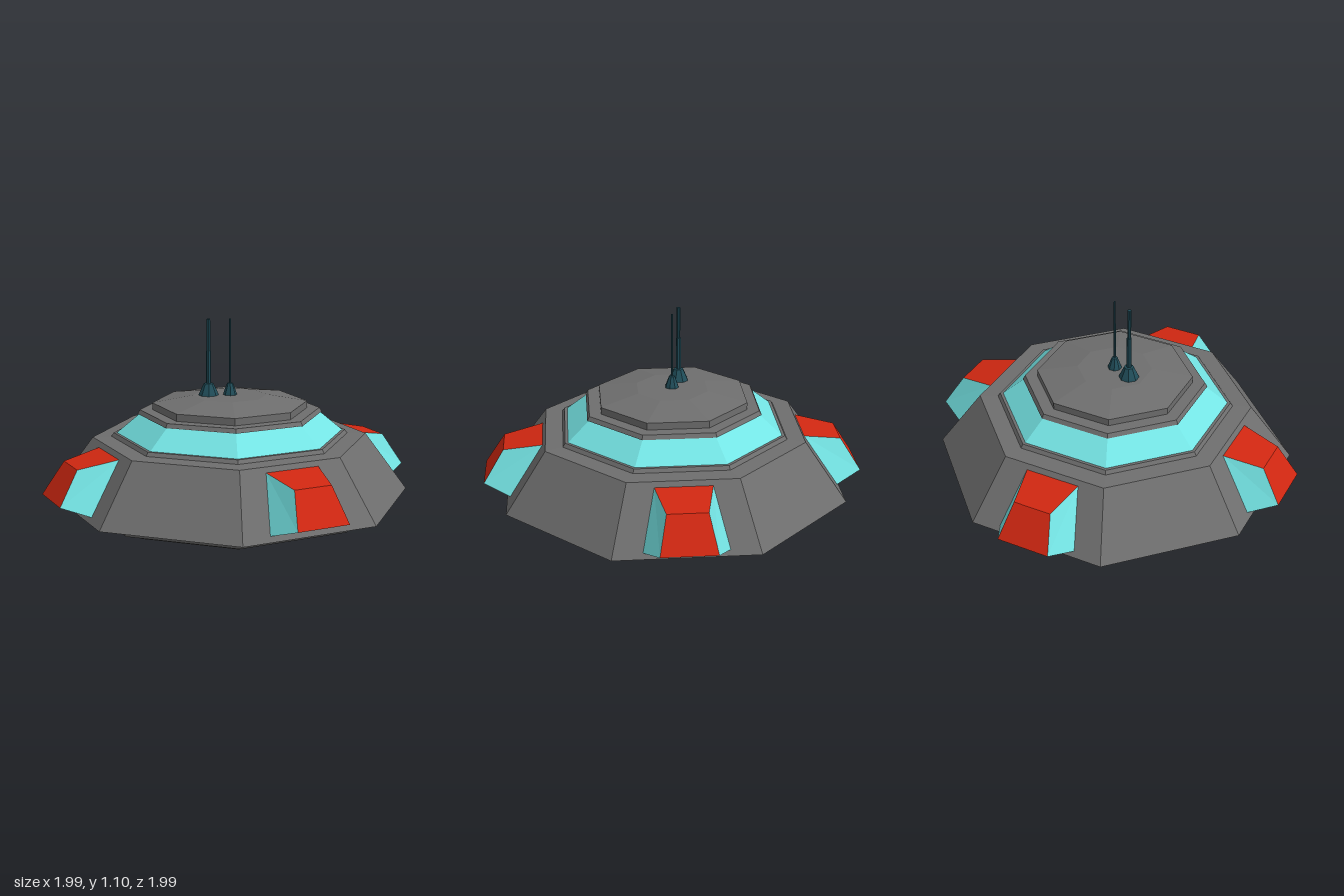
import * as THREE from 'three';

const mat = (name, color) => {
  const m = new THREE.MeshStandardMaterial({ color, flatShading: true });
  m.name = name;
  return m;
};

// Faceted eight-sided turned part; the profile runs from bottom to top
function turned(name, profile, material) {
  const pts = profile.map(([r, y]) => new THREE.Vector2(r, y));
  const geo = new THREE.LatheGeometry(pts, 8).toNonIndexed();
  geo.computeVertexNormals();
  const mesh = new THREE.Mesh(geo, material);
  mesh.name = name;
  return mesh;
}

// Mesh from quads given as strings of corner letters
function quads(name, corners, faces, material) {
  const pos = [];
  for (const f of faces) {
    for (const i of [0, 1, 2, 0, 2, 3]) pos.push(...corners[f[i]]);
  }
  const geo = new THREE.BufferGeometry();
  geo.setAttribute('position', new THREE.Float32BufferAttribute(pos, 3));
  geo.computeVertexNormals();
  const mesh = new THREE.Mesh(geo, material);
  mesh.name = name;
  return mesh;
}

export function createModel() {
  const grey = mat('hull grey', 0x6e6e6e);
  const cyan = mat('window cyan', 0x74e4e4);
  const red = mat('pod red', 0xd02711);
  const teal = mat('dark teal', 0x204d59);

  const model = new THREE.Group();
  model.name = 'saucer';

  // Hull with stepped underside and recessed floor
  model.add(turned('hull', [
    [0, 0.07], [0.53, 0.07], [0.56, 0.035], [0.6, 0.032], [0.68, 0.042],
    [0.725, 0.08], [0.79, 0.08], [0.86, 0.15], [0.972, 0.15],
    [0.74, 0.465], [0.64, 0.468], [0.627, 0.488], [0.6, 0.488],
  ], grey));

  // Window band and roof
  model.add(turned('windowBand', [[0.613, 0.486], [0.485, 0.592]], cyan));
  model.add(turned('roof', [
    [0.47, 0.59], [0.498, 0.59], [0.485, 0.612], [0.418, 0.612],
    [0.418, 0.65], [0.2, 0.688], [0, 0.69],
  ], grey));

  // Crossed ribs under the floor
  const section = new THREE.Shape();
  [[-0.065, 0.075], [-0.035, 0.037], [0.035, 0.037], [0.065, 0.075]]
    .forEach(([x, y], i) => (i ? section.lineTo(x, y) : section.moveTo(x, y)));
  const ribGeo = new THREE.ExtrudeGeometry(section, { depth: 1.1, bevelEnabled: false });
  ribGeo.translate(0, 0, -0.55);
  for (let i = 0; i < 2; i++) {
    const rib = new THREE.Mesh(ribGeo, grey);
    rib.name = 'floorRib';
    rib.rotation.y = i * Math.PI / 2;
    rib.position.y = i * 0.0005;
    model.add(rib);
  }

  // Four thrusters, one in each quarter of the floor
  for (const x of [-0.25, 0.25]) {
    for (const z of [-0.25, 0.25]) {
      const thruster = turned('thruster', [
        [0, 0.014], [0.024, 0.014], [0.03, 0], [0.075, 0.002],
        [0.12, 0.027], [0.126, 0.072],
      ], teal);
      thruster.position.set(x, 0, z);
      model.add(thruster);
    }
  }

  // Four side pods on alternate hull faces
  const pod = {
    A: [-0.147, 0.44, 0.70], B: [0.147, 0.44, 0.70],
    C: [0.103, 0.40, 0.91], D: [-0.103, 0.40, 0.91],
    E: [-0.143, 0.225, 1.02], F: [0.143, 0.225, 1.02],
    G: [-0.218, 0.175, 0.875], H: [0.218, 0.175, 0.875],
  };
  for (let i = 0; i < 4; i++) {
    const group = new THREE.Group();
    group.name = 'sidePod';
    group.add(quads('podCover', pod, ['ADCB', 'DEFC'], red));
    group.add(quads('podSides', pod, ['AGED', 'BCFH', 'GHFE'], cyan));
    group.rotation.y = Math.PI / 8 + i * Math.PI / 2;
    model.add(group);
  }

  // Two antennas with conical feet
  const thick = turned('thickAntenna', [
    [0.055, 0.685], [0.05, 0.7], [0.026, 0.752], [0.014, 0.754],
    [0.013, 0.93], [0.01, 0.93], [0.01, 1.1], [0, 1.1],
  ], teal);
  thick.position.x = -0.115;
  model.add(thick);
  model.add(turned('thinAntenna', [
    [0.038, 0.685], [0.035, 0.7], [0.016, 0.752], [0.006, 0.754],
    [0.005, 1.1], [0, 1.1],
  ], teal));

  return model;
}
